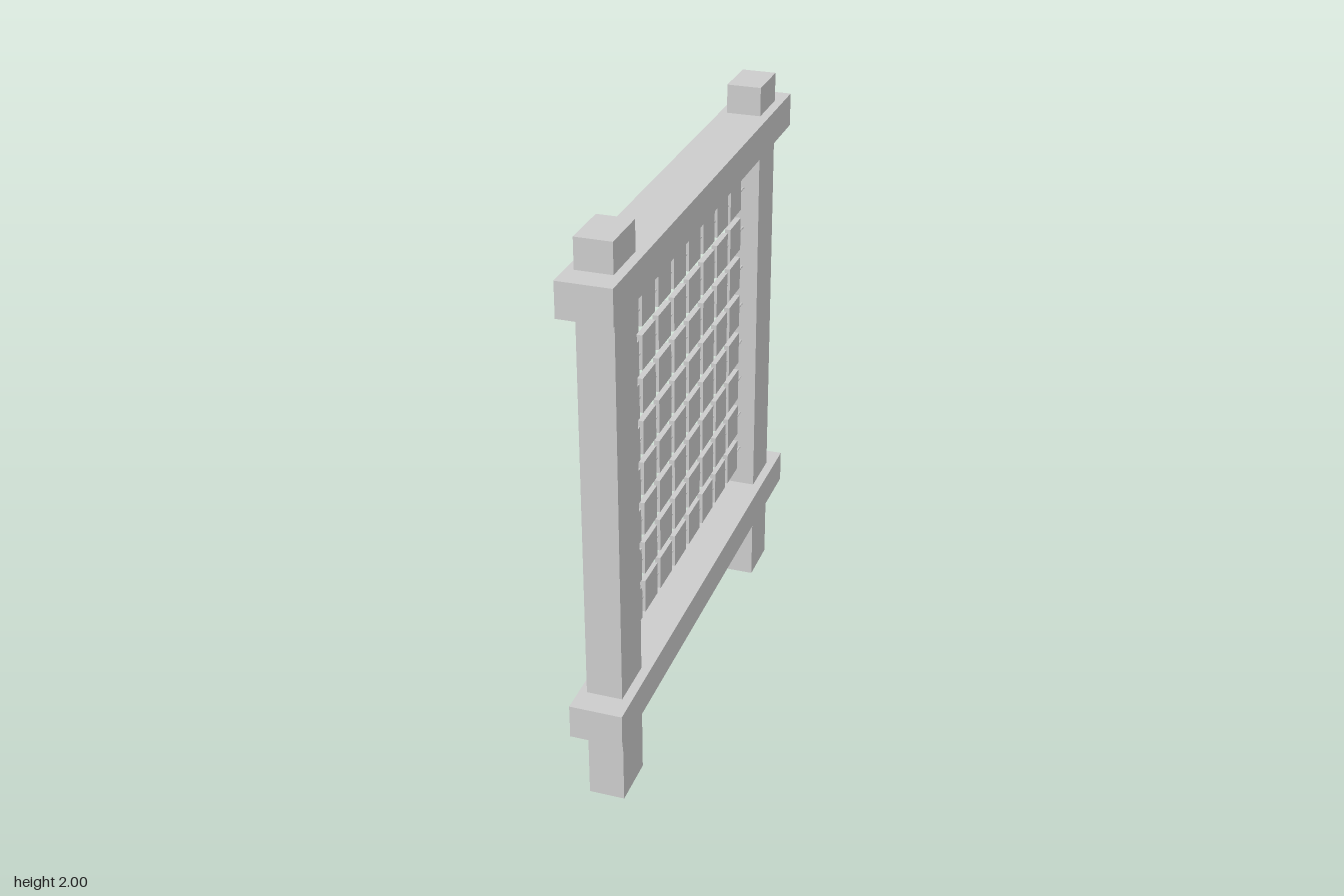
import * as THREE from 'three';

const material = new THREE.MeshStandardMaterial({ color: 0xcccccc, flatShading: true });

function addBox(parent, name, size, position) {
  const mesh = new THREE.Mesh(new THREE.BoxGeometry(...size), material);
  mesh.name = name;
  mesh.position.set(...position);
  parent.add(mesh);
  return mesh;
}

export function createModel() {
  const model = new THREE.Group();
  model.name = 'tileRack';

  // Two upright posts
  addBox(model, 'frontPost', [0.122, 2, 0.182], [-0.003, 1, 0.729]);
  addBox(model, 'backPost', [0.122, 2, 0.182], [-0.003, 1, -0.725]);

  // Crossing rails, wider and longer than the posts
  addBox(model, 'lowerRail', [0.18, 0.119, 1.82], [0, 0.348, 0]);
  addBox(model, 'upperRail', [0.18, 0.119, 1.82], [0, 1.838, 0]);

  // Hanging grid: eight rods, each carrying eight square tiles
  const count = 8;
  const pitch = 0.152;
  const tile = 0.121;
  for (let row = 0; row < count; row++) {
    const rowGroup = new THREE.Group();
    rowGroup.name = `tileRow${row + 1}`;
    rowGroup.position.y = 0.564 + row * 0.1515;
    model.add(rowGroup);

    const rod = new THREE.Mesh(new THREE.CylinderGeometry(0.004, 0.004, 1.29, 8), material);
    rod.name = 'rod';
    rod.rotation.x = Math.PI / 2;
    rod.position.z = 0.002;
    rowGroup.add(rod);

    for (let col = 0; col < count; col++) {
      // The second and third columns sit a hair higher
      const lift = col === 1 || col === 2 ? 0.003 : 0;
      addBox(rowGroup, 'tile', [0.02, tile, tile], [0, lift, 0.551 - col * pitch]);
    }
  }
  return model;
}
